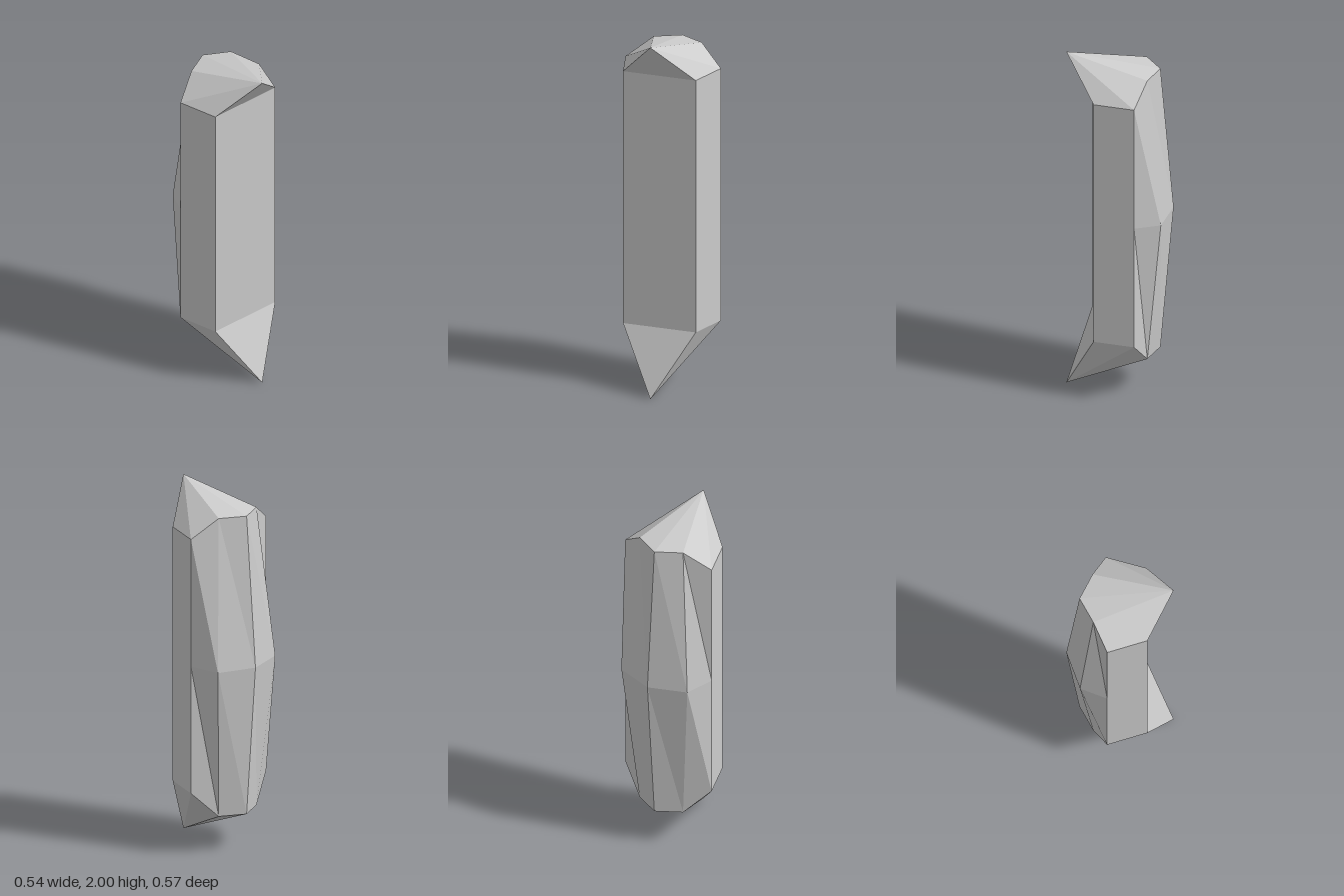
import * as THREE from 'three';

// Seven-sided faceted crystal: three rings of corners closed by two forward-leaning points.
export function createModel() {
  // Right half of a ring (front corner, side, back corner, back centre), mirrored to seven corners
  const ring = (half) => [...half, ...half.slice(0, 3).reverse().map(([x, y, z]) => [-x, y, z])];
  const endRing = (sideY, backY) => ring([
    [0.205, sideY, 0.142], [0.269, sideY, -0.072], [0.135, backY, -0.144], [0, backY, -0.215],
  ]);
  const bottom = endRing(0.36, 0.217);
  const middle = ring([[0.205, 1.075, 0.142], [0.269, 1.075, -0.072], [0.205, 1.06, -0.215], [0, 1.06, -0.285]]);
  const top = endRing(1.79, 1.895);
  const bottomPoint = [0, 0.005, 0.284];
  const topPoint = [0, 2, 0.284];

  const group = new THREE.Group();
  const material = new THREE.MeshStandardMaterial({ color: 0xcccccc, flatShading: true });
  const addPart = (name, triangles) => {
    const geometry = new THREE.BufferGeometry();
    geometry.setAttribute('position', new THREE.Float32BufferAttribute(triangles.flat(2), 3));
    geometry.computeVertexNormals();
    const mesh = new THREE.Mesh(geometry, material);
    mesh.name = name;
    group.add(mesh);
  };
  const next = (points, i) => points[(i + 1) % points.length];

  // Long side facets between two rings
  const band = (low, high) => low.flatMap((a, i) => [
    [a, next(low, i), high[i]],
    [next(low, i), next(high, i), high[i]],
  ]);
  addPart('shaft', [...band(bottom, middle), ...band(middle, top)]);

  // Slanted end facets meeting at the points
  addPart('topTip', top.map((a, i) => [a, next(top, i), topPoint]));
  addPart('bottomTip', bottom.map((a, i) => [next(bottom, i), a, bottomPoint]));
  return group;
}
